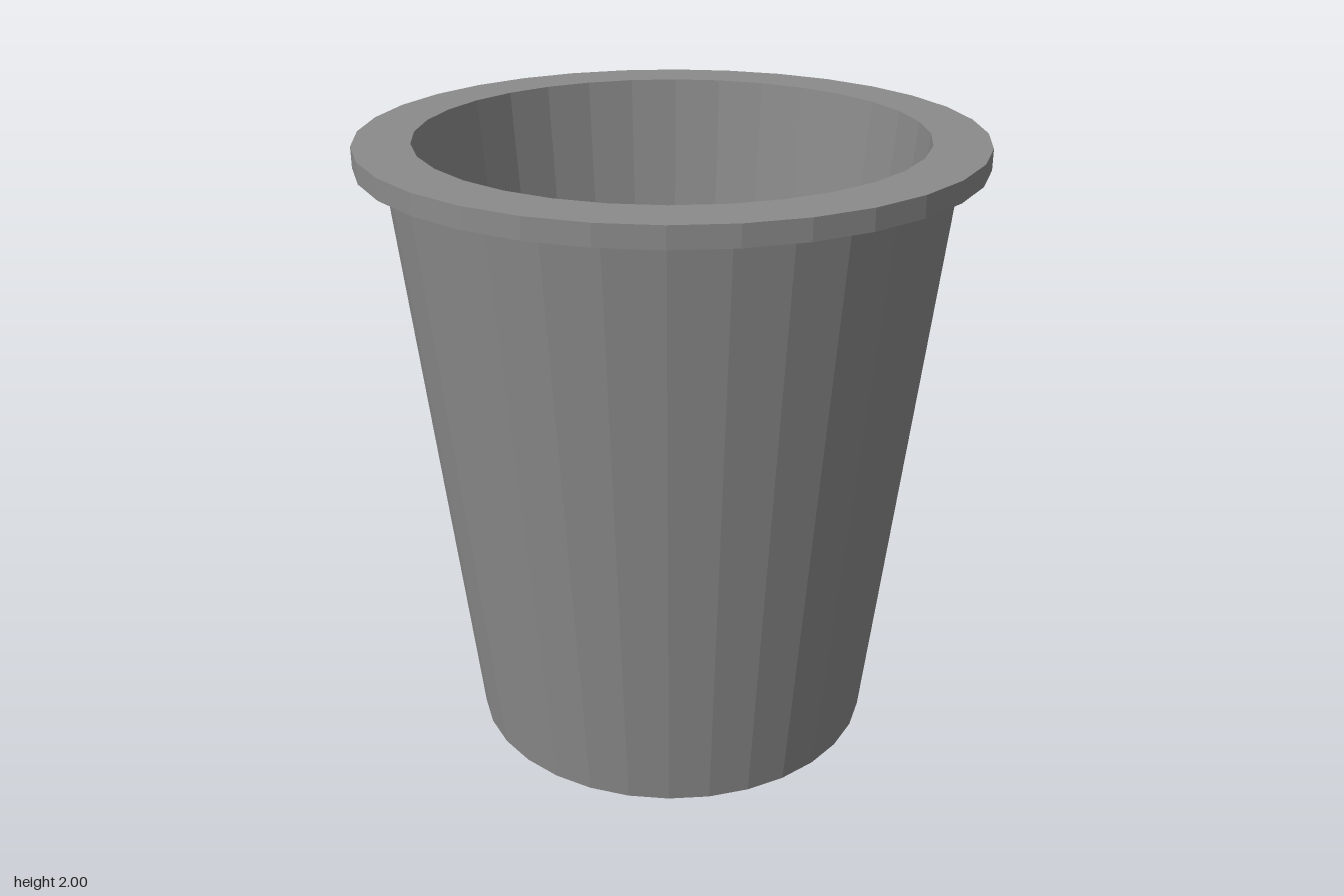
import * as THREE from 'three';

const SIDES = 32;
const HEIGHT = 2, RIM_BOTTOM = 1.935, FLOOR = 0.07;

// Faceted surface of revolution from [radius, y] pairs
function turned(name, profile, material) {
  const points = profile.map(([r, y]) => new THREE.Vector2(r, y));
  const mesh = new THREE.Mesh(new THREE.LatheGeometry(points, SIDES), material);
  mesh.name = name;
  return mesh;
}

export function createModel() {
  const group = new THREE.Group();
  group.name = 'bucket';
  const material = new THREE.MeshStandardMaterial({
    color: 0x8b8b8b, flatShading: true, side: THREE.DoubleSide,
  });

  // Underside and tapered outer wall
  group.add(turned('outerWall', [[0, 0], [0.668, 0], [0.88, RIM_BOTTOM]], material));

  // Flat collar projecting around the mouth
  group.add(turned('rim', [
    [0.88, RIM_BOTTOM], [0.968, RIM_BOTTOM], [0.968, HEIGHT], [0.792, HEIGHT],
  ], material));

  // Tapered inner wall and floor
  group.add(turned('innerWall', [[0.792, HEIGHT], [0.6, FLOOR], [0, FLOOR]], material));

  return group;
}
